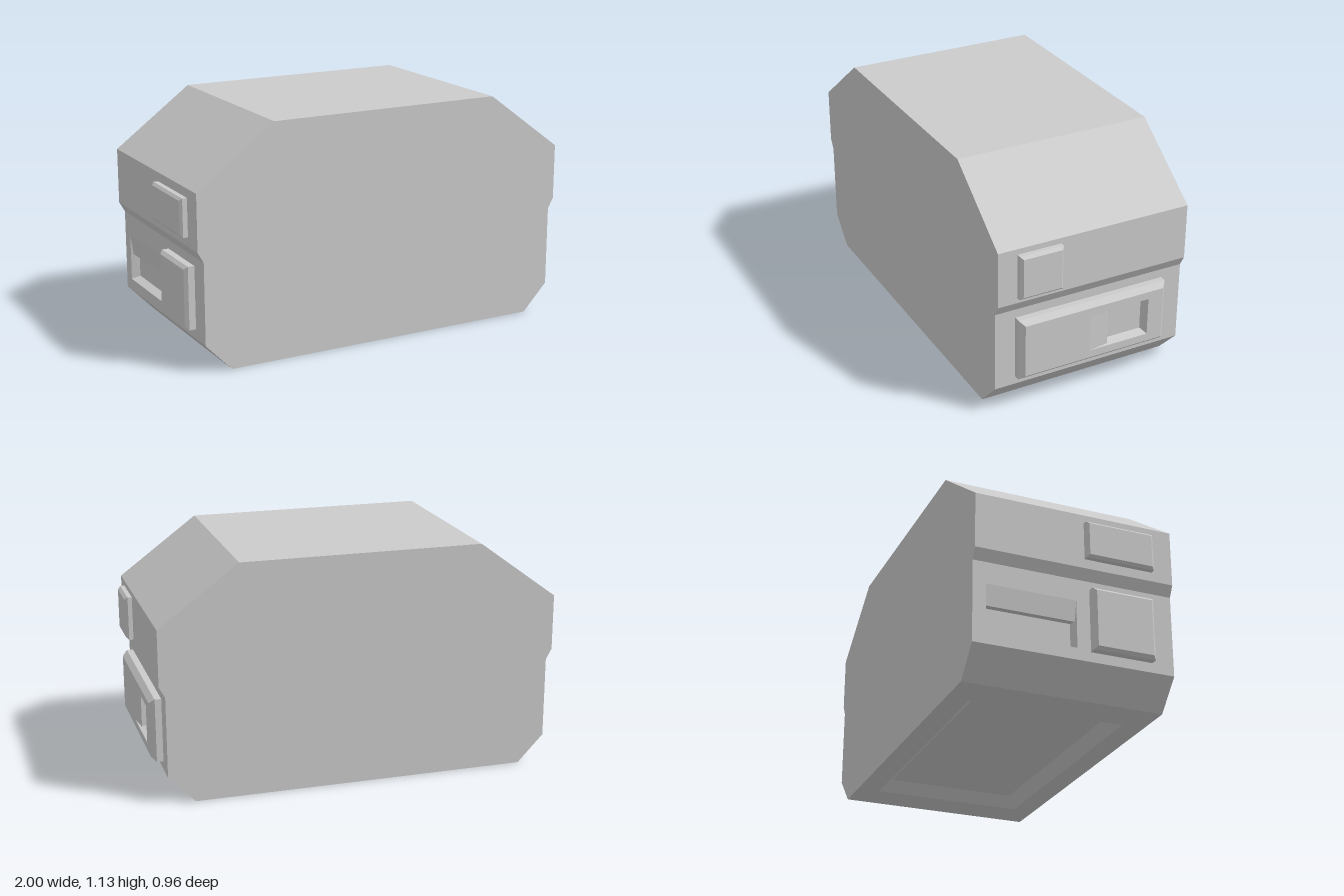
import * as THREE from 'three';

const material = new THREE.MeshStandardMaterial({ color: 0xcccccc, flatShading: true });

// Local frames (u right, v up, w outward) for the sides that carry details
const leftSide = (u, v, w) => [w, v, -u];
const rightSide = (u, v, w) => [-w, v, u];
const underside = (u, v, w) => [u, -w, v];

// Rectangular loop of corners, counter-clockwise from outside
const rect = (u0, u1, v0, v1, w) => [[u0, v0, w], [u1, v0, w], [u1, v1, w], [u0, v1, w]];
const inset = (loop, d, w) => rect(loop[0][0] + d, loop[2][0] - d, loop[0][1] + d, loop[2][1] - d, w);

function quadMesh(name, quads) {
  const pos = [];
  for (const [a, b, c, d] of quads) pos.push(...a, ...b, ...c, ...a, ...c, ...d);
  const geo = new THREE.BufferGeometry();
  geo.setAttribute('position', new THREE.Float32BufferAttribute(pos, 3));
  geo.computeVertexNormals();
  const mesh = new THREE.Mesh(geo, material);
  mesh.name = name;
  return mesh;
}

// Joins successive loops with quads and closes the last one
function loft(name, frame, loops) {
  const pts = loops.map(loop => loop.map(p => frame(...p)));
  const quads = [pts[pts.length - 1]];
  for (let k = 0; k + 1 < pts.length; k++) {
    for (let i = 0; i < 4; i++) {
      const j = (i + 1) % 4;
      quads.push([pts[k][i], pts[k][j], pts[k + 1][j], pts[k + 1][i]]);
    }
  }
  return quadMesh(name, quads);
}

// Raised plate: straight sides up to a shoulder, then a bevel to the face
function plateLoops(base, shoulder, face, bevel) {
  return [base, inset(base, 0, shoulder), inset(base, bevel, face)];
}

function createModel() {
  const group = new THREE.Group();
  const Z = 0.482;      // half depth
  const WAIST = 0.937;  // half width of the lower walls
  const WIDE = 0.965;   // half width of the upper walls

  // Body section, counter-clockwise from the front
  const half = [[0.81, 0], [WAIST, 0.133], [WAIST, 0.525], [WIDE, 0.575], [WIDE, 0.845], [0.582, 1.128]];
  const profile = [...half, ...half.map(([x, y]) => [-x, y]).reverse()];
  const n = profile.length;

  // End walls
  const shape = new THREE.Shape(profile.map(p => new THREE.Vector2(...p)));
  for (const back of [false, true]) {
    const geo = new THREE.ShapeGeometry(shape);
    if (back) geo.rotateY(Math.PI);
    geo.translate(0, 0, back ? -Z : Z);
    const wall = new THREE.Mesh(geo, material);
    wall.name = back ? 'backWall' : 'frontWall';
    group.add(wall);
  }

  // Long walls; the lower right wall and the underside have recesses, added below
  const walls = [];
  profile.forEach(([x0, y0], i) => {
    if (i === 9 || i === n - 1) return;
    const [x1, y1] = profile[(i + 1) % n];
    walls.push([[x0, y0, Z], [x0, y0, -Z], [x1, y1, -Z], [x1, y1, Z]]);
  });
  group.add(quadMesh('bodyWalls', walls));

  // Underside with a shallow recess and sloping walls
  const baseHole = rect(-0.63, 0.63, -0.375, 0.375, 0);
  group.add(loft('undersideRecess', underside,
    [rect(-0.81, 0.81, -Z, Z, 0), baseHole, inset(baseHole, 0.055, -0.05)]));

  // Lower right wall with a scoop whose ramp runs down from its top edge
  const scoop = rect(-0.42, 0.01, 0.19, 0.42, WAIST);
  group.add(loft('rightWallScoop', rightSide, [
    rect(-Z, Z, 0.133, 0.525, WAIST),
    scoop,
    [scoop[0], scoop[1], [0.005, 0.32, WAIST - 0.012], [-0.415, 0.32, WAIST - 0.012]],
    rect(-0.405, -0.005, 0.205, 0.32, WAIST - 0.04),
  ]));

  // Left panel with a scoop whose ramp runs in from its front edge
  const grip = rect(-0.028, 0.28, 0.236, 0.423, 0.993);
  group.add(loft('leftPanel', leftSide, [
    ...plateLoops(rect(-0.381, 0.38, 0.175, 0.483, WAIST), 0.968, 0.993, 0.023),
    grip,
    [[0.073, 0.239, 0.981], grip[1], grip[2], [0.073, 0.42, 0.981]],
    rect(0.073, 0.268, 0.247, 0.411, 0.947),
  ]));

  // Plain raised plates
  group.add(loft('leftButton', leftSide,
    plateLoops(rect(-0.387, -0.171, 0.602, 0.818, WIDE), 0.986, 1.0, 0.013)));
  group.add(loft('rightButton', rightSide,
    plateLoops(rect(0.043, 0.378, 0.62, 0.802, WIDE), 0.988, 1.0, 0.012)));
  group.add(loft('rightPanel', rightSide,
    plateLoops(rect(0.075, 0.376, 0.18, 0.482, WAIST), 0.969, 0.985, 0.015)));

  return group;
}

export { createModel };
